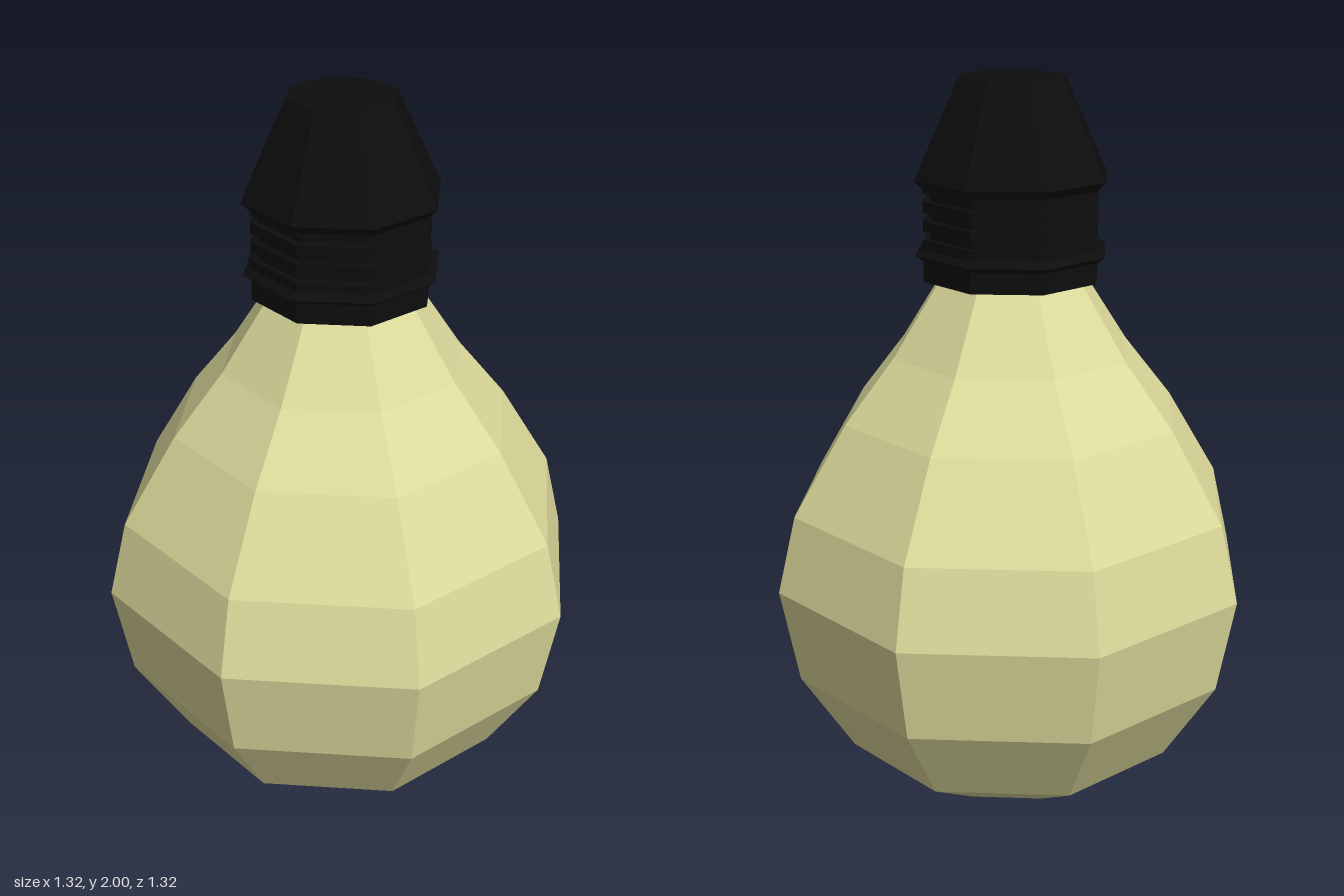
import * as THREE from 'three';

const SIDES = 8;

// Eight-sided, flat-shaded solid of revolution from [radius, height] pairs, bottom to top
function turned(name, profile, color) {
  const points = profile.map(([r, y]) => new THREE.Vector2(r, y));
  const mesh = new THREE.Mesh(
    new THREE.LatheGeometry(points, SIDES),
    new THREE.MeshStandardMaterial({ color, flatShading: true })
  );
  mesh.name = name;
  return mesh;
}

export function createModel() {
  const group = new THREE.Group();
  group.name = 'lightBulb';

  // Glass: faceted pear shape narrowing into the cap
  group.add(turned('glassBulb', [
    [0, 0], [0.25, 0.05], [0.465, 0.175], [0.61, 0.4], [0.66, 0.66],
    [0.61, 0.87], [0.465, 1.11], [0.33, 1.28], [0.2, 1.48], [0.17, 1.52],
  ], 0xdedb9c));

  // Cap: collar with a lip, three grooves as the screw thread, then a tapered tip
  const cap = [[0, 1.48], [0.243, 1.48], [0.243, 1.535], [0.265, 1.55], [0.243, 1.565]];
  for (const y of [1.59, 1.64, 1.69]) {
    cap.push([0.243, y], [0.222, y], [0.222, y + 0.022], [0.243, y + 0.022]);
  }
  cap.push([0.243, 1.722], [0.265, 1.745], [0.145, 2], [0, 2]);
  group.add(turned('screwCap', cap, 0x0d0d0d));

  return group;
}
